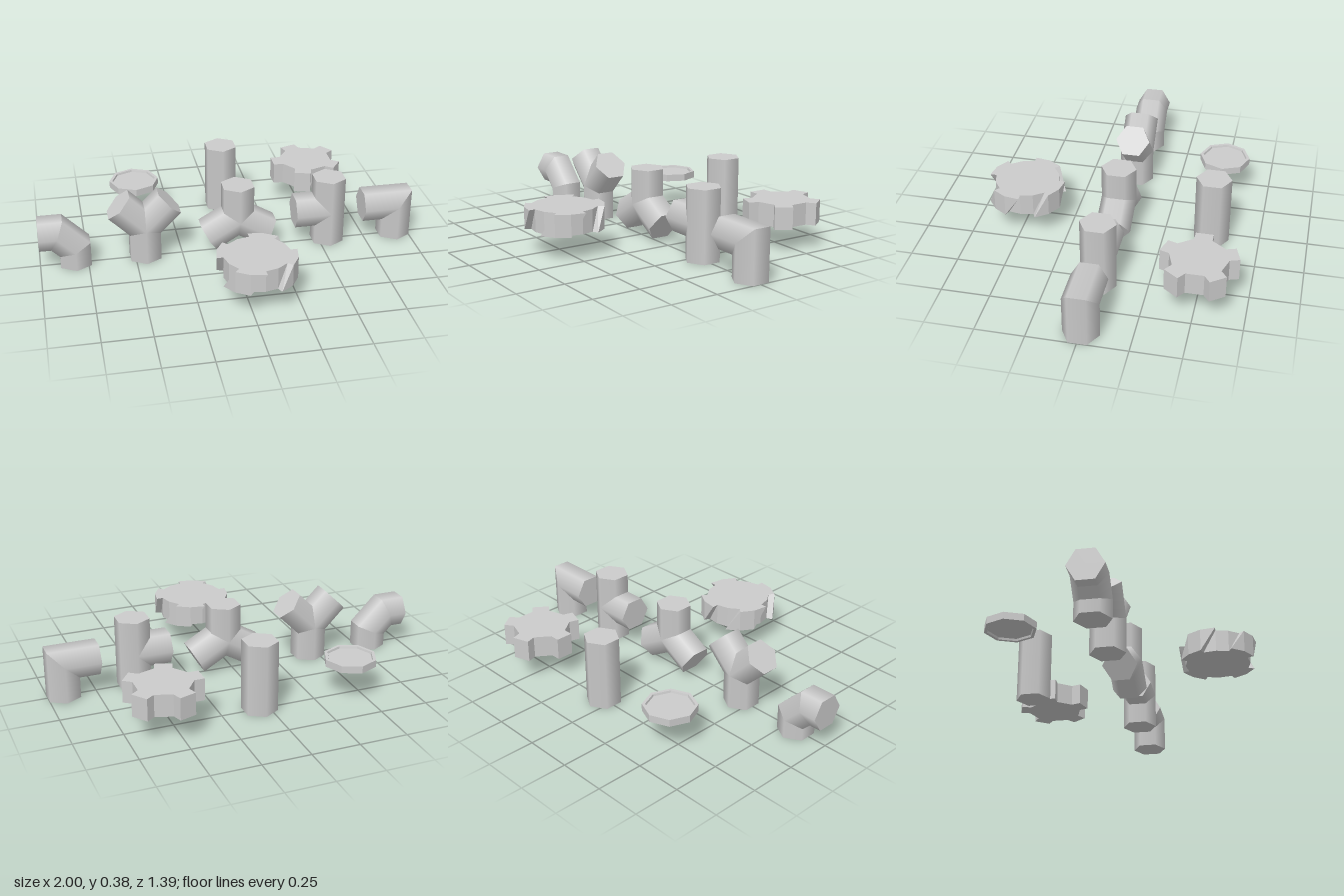
import * as THREE from 'three';

const MID = 0.187; // height of every part's centre, also the arm length of the pipes
const R = 0.0925; // hexagonal pipe radius
const ROW = -0.003; // z of the pipe row
const smooth = new THREE.MeshStandardMaterial({ color: 0xcccccc });
const flat = new THREE.MeshStandardMaterial({ color: 0xcccccc, flatShading: true });

// Hexagonal pipe along [x, y] points, mitred at each bend
function pipe(name, points, z = ROW) {
  const group = new THREE.Group();
  group.name = name;
  const p = points.map(([x, y]) => new THREE.Vector2(x, y));
  const angle = i => p[i + 1].clone().sub(p[i]).angle();
  const miter = i => { // tangent of half the turn at point i
    if (i === 0 || i === p.length - 1) return 0;
    return Math.tan((angle(i) - angle(i - 1)) / 2);
  };
  for (let i = 0; i < p.length - 1; i++) {
    const length = p[i].distanceTo(p[i + 1]);
    const geo = new THREE.CylinderGeometry(R, R, length, 6);
    const pos = geo.attributes.position;
    for (let k = 0; k < pos.count; k++) {
      const x = pos.getX(k), y = pos.getY(k);
      pos.setY(k, y > 0 ? y + x * miter(i + 1) : y - x * miter(i));
    }
    const mesh = new THREE.Mesh(geo, smooth);
    mesh.name = name + 'Section';
    mesh.rotation.z = angle(i) - Math.PI / 2;
    mesh.position.set((p[i].x + p[i + 1].x) / 2, (p[i].y + p[i + 1].y) / 2, z);
    group.add(mesh);
  }
  return group;
}

// Three or more straight arms meeting at one centre, angles in degrees
function junction(name, cx, degrees) {
  const group = new THREE.Group();
  group.name = name;
  for (const d of degrees) {
    const a = THREE.MathUtils.degToRad(d);
    group.add(pipe(name + 'Arm', [[cx, MID], [cx + MID * Math.cos(a), MID + MID * Math.sin(a)]]));
  }
  return group;
}

// Flat gear from [radius, degrees] points; the bottom face is turned by twist degrees
function gear(name, polar, x, z, twist = 0) {
  const height = 0.116;
  const outline = polar.map(([r, d]) => {
    const a = THREE.MathUtils.degToRad(d);
    return new THREE.Vector2(r * Math.cos(a), r * Math.sin(a));
  });
  const geo = new THREE.ExtrudeGeometry(new THREE.Shape(outline), { depth: height, bevelEnabled: false });
  const pos = geo.attributes.position;
  const v = new THREE.Vector3(), axis = new THREE.Vector3(0, 0, 1);
  for (let k = 0; k < pos.count; k++) {
    v.fromBufferAttribute(pos, k);
    v.applyAxisAngle(axis, THREE.MathUtils.degToRad(twist) * (1 - v.z / height));
    pos.setXYZ(k, v.x, v.y, v.z);
  }
  geo.rotateX(-Math.PI / 2);
  geo.computeVertexNormals();
  const mesh = new THREE.Mesh(geo, flat);
  mesh.name = name;
  mesh.position.set(x, MID - height / 2, z);
  return mesh;
}

export function createModel() {
  const model = new THREE.Group();
  model.name = 'pipeAndGearSet';

  // Elbows
  model.add(pipe('bevelledElbow', [[-0.815, 0], [-0.815, 0.1], [-0.905, 0.19], [-1, 0.19]]));
  model.add(pipe('squareElbow', [[0.92, 0], [0.92, 0.19], [0.733, 0.19]]));

  // Branching pipes
  model.add(junction('forkedPipe', -0.447, [-90, 45, 135]));
  model.add(junction('threeWayPipe', 0.05, [90, 210, 330]));
  const tee = new THREE.Group();
  tee.name = 'teePipe';
  tee.add(pipe('teeStem', [[0.545, 0], [0.545, 2 * MID]]));
  tee.add(pipe('teeArm', [[0.545, 0.19], [0.357, 0.19]]));
  model.add(tee);

  // Straight pipe
  model.add(pipe('straightPipe', [[0.05, 0], [0.05, 2 * MID]], -0.5));

  // Spur gear: decagon with a square tooth on every other side
  const spur = [];
  for (let i = 0; i < 5; i++) {
    const d = 36 + i * 72;
    spur.push([0.147, d - 18], [0.197, d - 13.3], [0.197, d + 13.3], [0.147, d + 18]);
  }
  model.add(gear('spurGear', spur, 0.545, -0.5));

  // Helical gear: four wide slanted teeth
  const helical = [];
  for (let i = 0; i < 4; i++) {
    const d = i * 90 + 2;
    helical.push([0.17, d], [0.204, d], [0.204, d - 22.5], [0.204, d - 45], [0.17, d - 45], [0.17, d - 67.5]);
  }
  // points run clockwise within each tooth, so order the teeth clockwise too
  const clockwise = [0, 3, 2, 1].flatMap(i => helical.slice(i * 6, i * 6 + 6));
  model.add(gear('helicalGear', clockwise, 0.05, 0.493, -22.5));

  // Octagonal cap with a raised rim on both faces
  const profile = [[0, 0.179], [0.117, 0.179], [0.12, 0.168], [0.136, 0.168],
    [0.136, 0.206], [0.12, 0.206], [0.117, 0.195], [0, 0.195]].map(([x, y]) => new THREE.Vector2(x, y));
  const cap = new THREE.Mesh(new THREE.LatheGeometry(profile, 8), flat);
  cap.name = 'octagonalCap';
  cap.position.set(-0.445, 0, -0.5);
  model.add(cap);

  return model;
}
